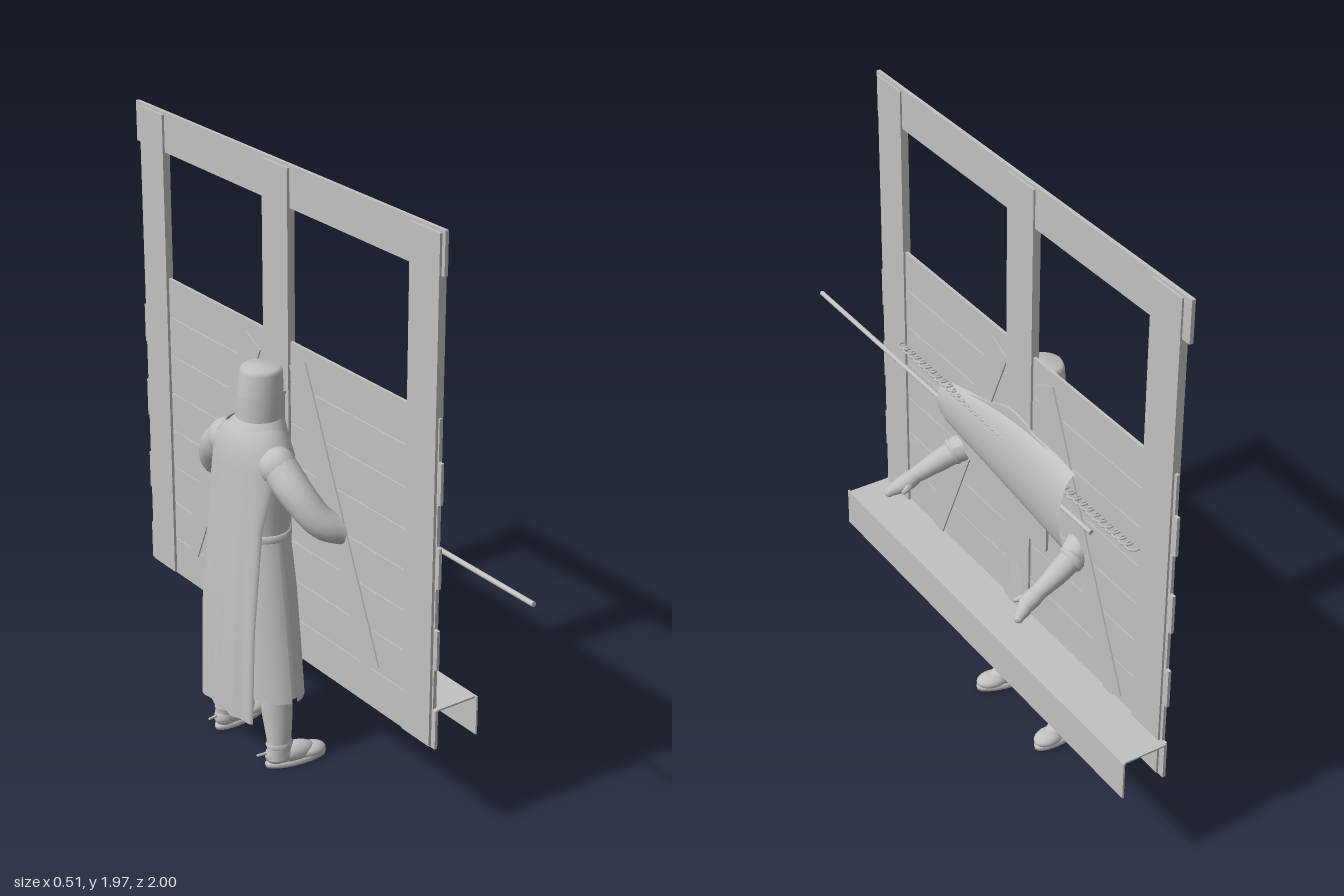
import * as THREE from 'three';

const CZ = -0.2; // figure stands on this z line and faces +x
const gray = new THREE.MeshStandardMaterial({ color: 0xc2c1bf, side: THREE.DoubleSide });
gray.name = 'plain gray';

function add(parent, name, geometry) {
  const m = new THREE.Mesh(geometry, gray);
  m.name = name;
  parent.add(m);
  return m;
}

// box from min / max extents
function slab(parent, name, x0, x1, y0, y1, z0, z1) {
  const m = add(parent, name, new THREE.BoxGeometry(x1 - x0, y1 - y0, z1 - z0));
  m.position.set((x0 + x1) / 2, (y0 + y1) / 2, (z0 + z1) / 2);
  return m;
}

// skin over stacked ellipses [y, centre x, radius x, radius z, centre z]
function loft(rings, a0 = 0, a1 = Math.PI * 2, n = 32) {
  const pos = [], idx = [];
  rings.forEach(([y, cx, rx, rz, cz = CZ], i) => {
    for (let j = 0; j <= n; j++) {
      const a = a0 + (a1 - a0) * j / n;
      pos.push(cx + rx * Math.cos(a), y, cz + rz * Math.sin(a));
      if (i && j < n) {
        const h = i * (n + 1) + j, l = h - n - 1;
        idx.push(l + 1, l, h, l + 1, h, h + 1);
      }
    }
  });
  const g = new THREE.BufferGeometry();
  g.setAttribute('position', new THREE.Float32BufferAttribute(pos, 3));
  g.setIndex(idx);
  g.computeVertexNormals();
  return g;
}

// tube whose radius follows a list of values
function taper(points, radii, seg = 24, sides = 14) {
  const curve = new THREE.CatmullRomCurve3(points.map(p => new THREE.Vector3(...p)));
  const g = new THREE.TubeGeometry(curve, seg, 1, sides);
  const p = g.attributes.position, v = new THREE.Vector3();
  for (let i = 0; i <= seg; i++) {
    const c = curve.getPointAt(i / seg);
    const f = i / seg * (radii.length - 1), k = Math.min(Math.floor(f), radii.length - 2);
    const r = THREE.MathUtils.lerp(radii[k], radii[k + 1], f - k);
    for (let j = 0; j <= sides; j++) {
      const q = i * (sides + 1) + j;
      v.fromBufferAttribute(p, q).sub(c).multiplyScalar(r).add(c);
      p.setXYZ(q, v.x, v.y, v.z);
    }
  }
  g.computeVertexNormals();
  return g;
}

function ball(parent, name, x, y, z, sx, sy, sz) {
  const m = add(parent, name, new THREE.SphereGeometry(1, 20, 14));
  m.position.set(x, y, z);
  m.scale.set(sx, sy, sz);
  return m;
}

function buildBoard() {
  const g = new THREE.Group();
  g.name = 'woodenBarrier';
  // horizontal planks with slim joints
  for (let i = 0; i < 8; i++) {
    const y = 0.335 + i * 0.1345;
    const s = (i % 2) * 0.012;
    slab(g, 'plank', -0.005, 0.005, y, y + 0.131, -0.985 + s, 0.605 - s);
  }
  slab(g, 'topRail', -0.006, 0.006, 1.832, 1.965, -0.995, 0.6);
  for (const z of [0.52, -0.205, -0.895]) slab(g, 'post', -0.014, 0.012, 0.34, 1.955, z - 0.067, z + 0.067);
  // diagonal braces on both faces
  for (const [zb, zt] of [[0.29, -0.1], [-0.73, -0.335]]) {
    const m = slab(g, 'brace', -0.01, 0.01, -0.48, 0.48, -0.045, 0.045);
    m.position.set(0, 0.91, (zb + zt) / 2);
    m.rotation.x = Math.atan2(zt - zb, 0.89);
  }
  // shelf with hanging lip
  slab(g, 'shelf', 0.0, 0.155, 0.459, 0.465, -0.99, 0.6);
  slab(g, 'shelfLip', 0.15, 0.156, 0.335, 0.465, -0.995, 0.608);
  // row of hooks
  for (let z = 0.43; z > -0.85; z -= 0.032) {
    const h = add(g, 'hook', new THREE.TorusGeometry(0.022, 0.004, 6, 10, Math.PI * 1.2));
    h.rotation.set(Math.PI / 2, 0, -1.8);
    h.position.set(0.025, 1.085, z);
  }
  return g;
}

function buildShield() {
  const g = new THREE.Group();
  g.name = 'shieldAndLance';
  // bulging half cone, wide toward -z
  const pos = [], idx = [], n = 16, m = 14;
  for (let i = 0; i <= n; i++) {
    const t = i / n, z = 0.22 - 0.73 * t;
    const top = 1.07 + 0.085 * Math.sin(t * 2.2), bot = 0.935 - 0.085 * t;
    const e = t < 0.06 ? 0.8 + t * 3.3 : 1;
    for (let j = 0; j <= m; j++) {
      const a = -Math.PI / 2 + Math.PI * j / m;
      pos.push(0.012 + (0.03 + 0.024 * t) * e * Math.cos(a),
        (top + bot) / 2 + (top - bot) / 2 * e * Math.sin(a), z);
      if (i && j < m) {
        const b = i * (m + 1) + j, c = b - m - 1;
        idx.push(c, b, b + 1, c, b + 1, c + 1);
      }
    }
  }
  const cone = new THREE.BufferGeometry();
  cone.setAttribute('position', new THREE.Float32BufferAttribute(pos, 3));
  cone.setIndex(idx);
  cone.computeVertexNormals();
  add(g, 'shieldFace', cone);
  // flat rounded plate behind, drawn in (-z, y)
  const s = new THREE.Shape();
  s.moveTo(-0.15, 0.92);
  s.quadraticCurveTo(0.05, 0.79, 0.35, 0.77);
  s.quadraticCurveTo(0.38, 0.77, 0.38, 0.8);
  s.lineTo(0.38, 1.15);
  s.lineTo(0.29, 1.16);
  s.quadraticCurveTo(0.19, 1.21, 0.06, 1.14);
  s.lineTo(-0.15, 1.08);
  const plate = add(g, 'shieldBacking', new THREE.ExtrudeGeometry(s, { depth: 0.008, bevelEnabled: false }));
  plate.rotation.y = Math.PI / 2;
  plate.position.x = 0.014;
  // lance
  const lance = add(g, 'lance', new THREE.CylinderGeometry(0.008, 0.008, 1.6, 12));
  lance.rotation.x = Math.PI / 2;
  lance.position.set(0.015, 0.99, 0.2);
  slab(g, 'strapEnd', 0.008, 0.02, 1.033, 1.048, 0.18, 0.25);
  return g;
}

function buildFigure() {
  const g = new THREE.Group();
  g.name = 'armouredFigure';
  // helmet with sloping top, visor and cross ridge
  add(g, 'helmet', loft([[1.13, -0.077, 0.078, 0.072], [1.24, -0.075, 0.077, 0.072],
    [1.245, -0.075, 0.073, 0.069], [1.31, -0.073, 0.069, 0.065], [1.325, -0.073, 0.062, 0.058], [1.33, -0.073, 0, 0]]));
  slab(g, 'visorRidge', -0.008, 0.004, 1.15, 1.3, CZ - 0.008, CZ + 0.008);
  slab(g, 'visorBar', -0.03, 0.002, 1.235, 1.245, CZ - 0.05, CZ + 0.05);
  // torso, collar and belt
  add(g, 'torso', loft([[0.78, -0.088, 0.088, 0.115], [0.86, -0.088, 0.096, 0.12], [0.97, -0.09, 0.108, 0.14],
    [1.05, -0.095, 0.105, 0.15], [1.1, -0.098, 0.095, 0.135], [1.14, -0.092, 0.08, 0.095], [1.17, -0.08, 0.055, 0.06]]));
  add(g, 'collar', loft([[1.09, -0.098, 0.102, 0.125], [1.13, -0.09, 0.09, 0.1], [1.165, -0.08, 0.074, 0.074]]));
  add(g, 'belt', loft([[0.775, -0.088, 0.09, 0.118], [0.777, -0.088, 0.096, 0.124],
    [0.797, -0.088, 0.096, 0.124], [0.8, -0.088, 0.088, 0.116]]));
  // tabard skirt in front and back halves with side slits, over an inner skirt
  const skirt = [[0.235, -0.088, 0.108, 0.195], [0.4, -0.088, 0.106, 0.175], [0.6, -0.088, 0.102, 0.148], [0.78, -0.088, 0.09, 0.118]];
  for (const c of [0, Math.PI]) add(g, 'tabardSkirt', loft(skirt, c - 1.48, c + 1.48, 24));
  add(g, 'innerSkirt', loft(skirt.map(([y, x, a, b]) => [y + 0.01, x, a - 0.008, b - 0.008])));
  // cape wrapped around the back, flattening out toward the hem
  const cape = loft([[0.18, -0.215, 0.03, 0.15], [0.5, -0.205, 0.033, 0.15], [0.85, -0.17, 0.045, 0.145],
    [1.03, -0.12, 0.088, 0.155], [1.1, -0.1, 0.104, 0.142], [1.14, -0.092, 0.09, 0.105]], Math.PI * 0.5, Math.PI * 1.5, 36);
  const p = cape.attributes.position;
  for (let i = 0; i < p.count; i++) { // soft folds in the lower cloth
    const k = Math.max(0, 1 - p.getY(i) / 1.0);
    p.setX(i, p.getX(i) + 0.006 * k * Math.sin((p.getZ(i) - CZ) * 75));
  }
  cape.computeVertexNormals();
  add(g, 'cape', cape);

  for (const s of [1, -1]) {
    const at = (x, y, d) => [x, y, CZ + s * d];
    // arm: puffed sleeve, cuff, forearm and hand
    ball(g, 'shoulder', ...at(-0.11, 1.05, 0.14), 0.06, 0.062, 0.06);
    add(g, 'sleeve', taper([at(-0.11, 1.06, 0.13), at(-0.095, 0.98, 0.225), at(-0.05, 0.9, 0.29), at(0.03, 0.86, 0.328)],
      [0.058, 0.057, 0.053, 0.05, 0.042]));
    add(g, 'cuff', taper([at(0.02, 0.863, 0.325), at(0.035, 0.856, 0.33), at(0.05, 0.85, 0.333)], [0.03, 0.044, 0.044, 0.03], 8));
    add(g, 'forearm', taper([at(0.02, 0.86, 0.325), at(0.09, 0.83, 0.34), at(0.16, 0.8, 0.35)], [0.039, 0.034, 0.025]));
    add(g, 'palm', taper([at(0.15, 0.805, 0.35), at(0.18, 0.79, 0.352), at(0.215, 0.773, 0.358)], [0.024, 0.029, 0.025], 8));
    add(g, 'fingers', taper([at(0.205, 0.777, 0.356), at(0.23, 0.763, 0.367), at(0.245, 0.752, 0.373)], [0.025, 0.022, 0.014], 8));
    ball(g, 'fingerTip', ...at(0.243, 0.753, 0.372), 0.015, 0.015, 0.015);
    add(g, 'thumb', taper([at(0.18, 0.785, 0.345), at(0.205, 0.78, 0.325), at(0.228, 0.775, 0.318)], [0.014, 0.011, 0.006], 8, 8));
    // leg and boot shaft
    const z = d => CZ + s * d;
    add(g, 'leg', loft([[0.03, -0.12, 0.046, 0.032, z(0.155)], [0.09, -0.118, 0.042, 0.034, z(0.148)],
      [0.17, -0.115, 0.05, 0.045, z(0.135)], [0.24, -0.112, 0.055, 0.048, z(0.122)], [0.4, -0.105, 0.058, 0.052, z(0.1)]]));
    add(g, 'ankleStrap', loft([[0.07, -0.118, 0.043, 0.035, z(0.15)], [0.076, -0.118, 0.047, 0.039, z(0.149)],
      [0.086, -0.118, 0.043, 0.035, z(0.148)]]));
    // shoe and flat sole, toes turned outward
    const shoe = new THREE.Group();
    shoe.name = 'shoe';
    shoe.position.set(-0.12, 0, z(0.152));
    shoe.rotation.y = -s * 0.14;
    g.add(shoe);
    ball(shoe, 'heel', 0, 0.04, 0, 0.05, 0.04, 0.034);
    ball(shoe, 'instep', 0.055, 0.035, 0, 0.07, 0.034, 0.035);
    ball(shoe, 'toe', 0.11, 0.026, 0, 0.055, 0.024, 0.038);
    add(shoe, 'sole', loft([[0, 0.058, 0, 0, 0], [0, 0.058, 0.107, 0.037, 0], [0.013, 0.058, 0.109, 0.04, 0], [0.018, 0.058, 0.1, 0.034, 0]]));
    // spur behind the heel
    const spur = add(shoe, 'spur', new THREE.CylinderGeometry(0.004, 0.005, 0.04, 8));
    spur.rotation.z = Math.PI / 2;
    spur.position.set(-0.06, 0.052, 0);
  }
  return g;
}

export function createModel() {
  const model = new THREE.Group();
  model.name = 'figureBehindBarrier';
  model.add(buildBoard(), buildShield(), buildFigure());
  return model;
}
